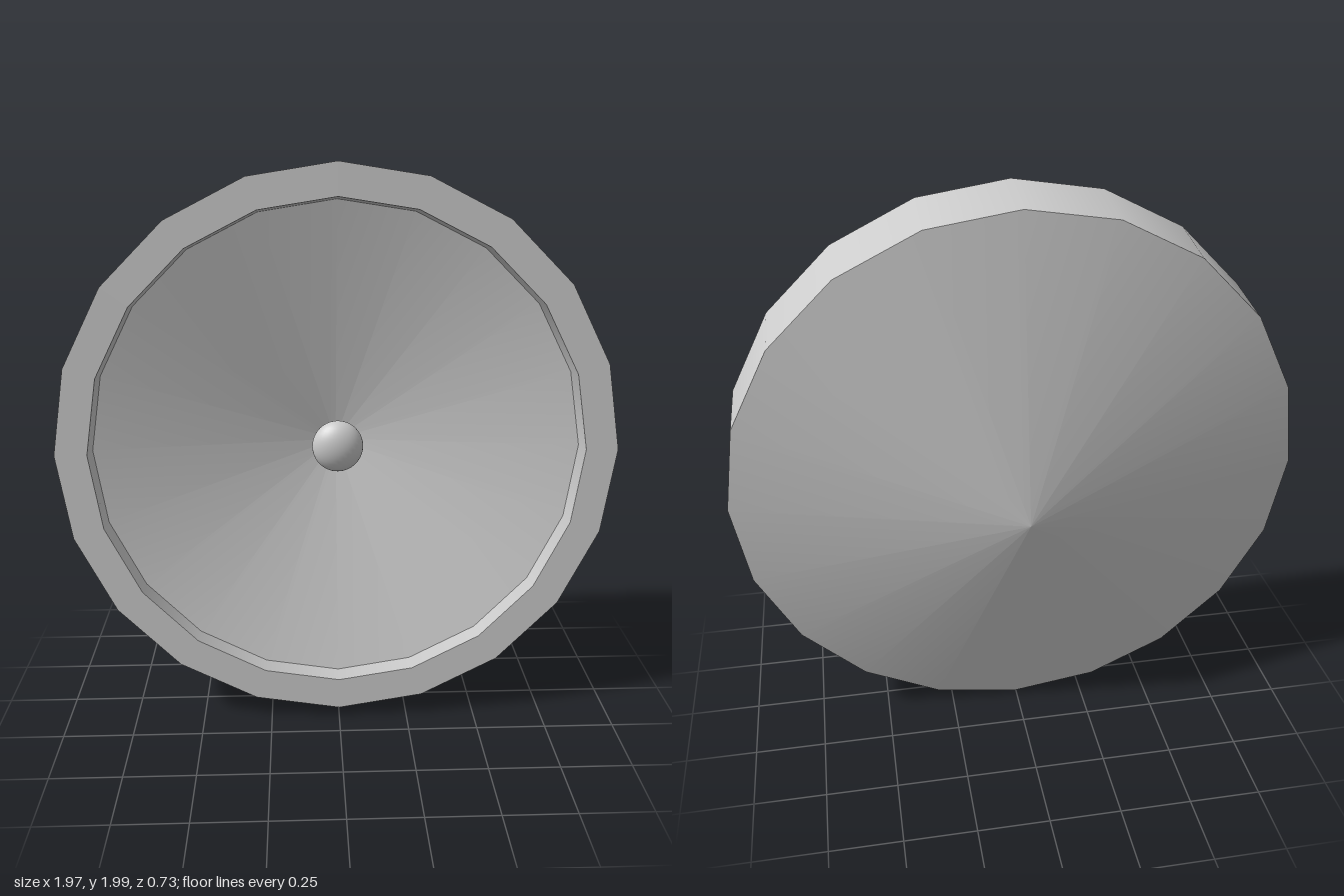
import * as THREE from 'three';

const material = new THREE.MeshStandardMaterial({ color: 0xcccccc });

function addMesh(group, name, geometry) {
  const mesh = new THREE.Mesh(geometry, material);
  mesh.name = name;
  group.add(mesh);
  return mesh;
}

export function createModel() {
  const model = new THREE.Group();
  model.name = 'dishAntenna';

  // Dish: 20-sided rings of unit radius along y, then leaned (and sheared) so the opening faces +z
  const lean = new THREE.Matrix4().makeBasis(
    new THREE.Vector3(0.985, 0, 0),
    new THREE.Vector3(0, 0.152, 1),
    new THREE.Vector3(0, -0.98, 0.06)
  ).setPosition(0, 1.02, 0.09);

  const dish = new THREE.Group();
  dish.name = 'dish';
  model.add(dish);

  // Each band is its own surface, smooth around and sharp at its edges: [name, r0, h0, r1, h1]
  const bands = [
    ['backCone', 0, -0.45, 1, -0.23],
    ['outerWall', 1, -0.23, 1, 0],
    ['rimFace', 1, 0, 0.885, 0],
    ['innerWall', 0.885, 0, 0.885, -0.105],
    ['innerCone', 0.885, -0.105, 0, -0.305],
  ];
  for (const [name, r0, h0, r1, h1] of bands) {
    const profile = [new THREE.Vector2(r0, h0), new THREE.Vector2(r1, h1)];
    addMesh(dish, name, new THREE.LatheGeometry(profile, 20).applyMatrix4(lean));
  }

  // Receiver: a thin stem from the middle of the dish, ending in a flattened ball
  const receiver = new THREE.Group();
  receiver.name = 'receiver';
  model.add(receiver);

  const base = new THREE.Vector3(-0.012, 0.975, -0.23);
  const tip = new THREE.Vector3(-0.012, 1.117, 0.313);
  const axis = tip.clone().sub(base);
  const stem = addMesh(receiver, 'stem', new THREE.CylinderGeometry(0.029, 0.029, axis.length(), 16));
  stem.position.copy(base).add(tip).multiplyScalar(0.5);
  stem.quaternion.setFromUnitVectors(new THREE.Vector3(0, 1, 0), axis.normalize());

  const ball = addMesh(receiver, 'ball', new THREE.SphereGeometry(1, 32, 20));
  ball.scale.set(0.083, 0.085, 0.054);
  ball.position.copy(tip);

  return model;
}
